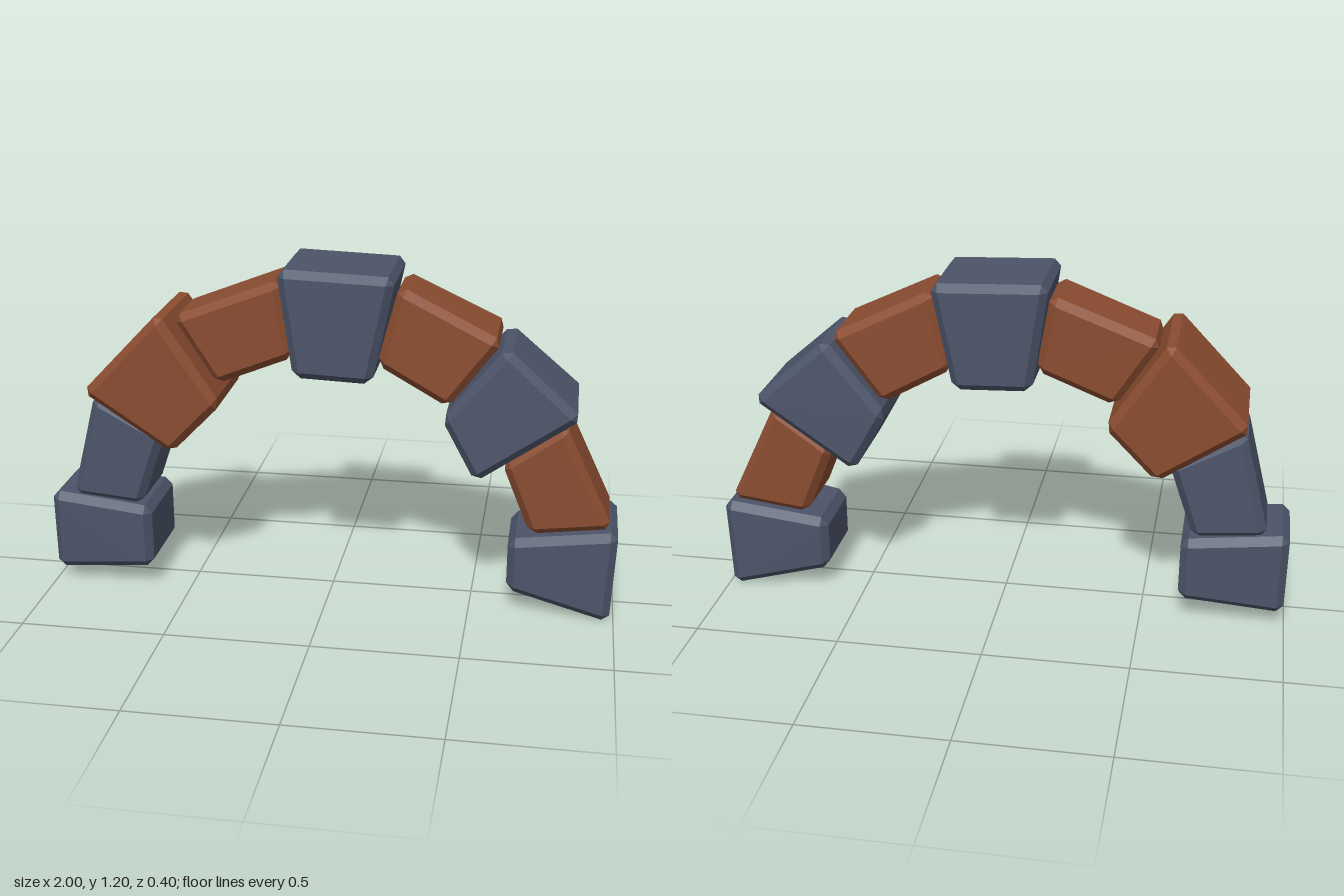
import * as THREE from 'three';
import { ConvexGeometry } from 'three/addons/geometries/ConvexGeometry.js';

const BEVEL = 0.026;
const slate = new THREE.MeshStandardMaterial({ color: 0x4c5469, flatShading: true });
const clay = new THREE.MeshStandardMaterial({ color: 0x8a4c30, flatShading: true });

// Each stone: name, material, four corners [x, y, half depth] going round its front outline
const STONES = [
  ['rightFootStone', slate, [[-1, 0.35, 0.15], [-0.995, 0.052, 0.15], [-0.63, 0.087, 0.165], [-0.632, 0.315, 0.165]]],
  ['rightLowerStone', slate, [[-0.925, 0.335, 0.135], [-0.67, 0.315, 0.14], [-0.58, 0.58, 0.14], [-0.83, 0.715, 0.135]]],
  ['rightHaunchStone', clay, [[-0.85, 0.745, 0.2], [-0.57, 1.04, 0.2], [-0.36, 0.725, 0.2], [-0.54, 0.54, 0.2]]],
  ['rightUpperStone', clay, [[-0.54, 1.01, 0.125], [-0.165, 1.155, 0.13], [-0.12, 0.885, 0.13], [-0.39, 0.775, 0.125]]],
  ['keystone', slate, [[-0.168, 1.202, 0.18], [0.232, 1.188, 0.18], [0.155, 0.82, 0.183], [-0.113, 0.83, 0.183]]],
  ['leftUpperStone', clay, [[0.237, 1.15, 0.13], [0.588, 0.98, 0.15], [0.41, 0.742, 0.15], [0.165, 0.875, 0.135]]],
  ['leftHaunchStone', slate, [[0.6, 0.967, 0.168], [0.86, 0.74, 0.19], [0.51, 0.495, 0.19], [0.39, 0.71, 0.175]]],
  ['leftLowerStone', clay, [[0.805, 0.7, 0.14], [0.98, 0.335, 0.143], [0.7, 0.298, 0.143], [0.597, 0.55, 0.14]]],
  ['leftFootStone', slate, [[1, 0.335, 0.173], [0.985, 0, 0.177], [0.628, 0.083, 0.145], [0.628, 0.275, 0.145]]],
];

// Tapered block with chamfered edges: every corner becomes three points,
// each pulled along two of the three edges that meet there
function chamferedBlock(corners) {
  const at = (i, side) => {
    const [x, y, d] = corners[(i + 4) % 4];
    return new THREE.Vector3(x, y, side * d);
  };
  const points = [];
  for (const side of [-1, 1]) {
    for (let i = 0; i < 4; i++) {
      const p = at(i, side);
      const pulls = [at(i - 1, side), at(i + 1, side), at(i, -side)]
        .map((q) => q.sub(p).setLength(BEVEL));
      for (let k = 0; k < 3; k++) {
        points.push(p.clone().add(pulls[k]).add(pulls[(k + 1) % 3]));
      }
    }
  }
  return new ConvexGeometry(points);
}

export function createModel() {
  const arch = new THREE.Group();
  arch.name = 'stoneArch';
  for (const [name, material, corners] of STONES) {
    const stone = new THREE.Mesh(chamferedBlock(corners), material);
    stone.name = name;
    arch.add(stone);
  }
  return arch;
}
